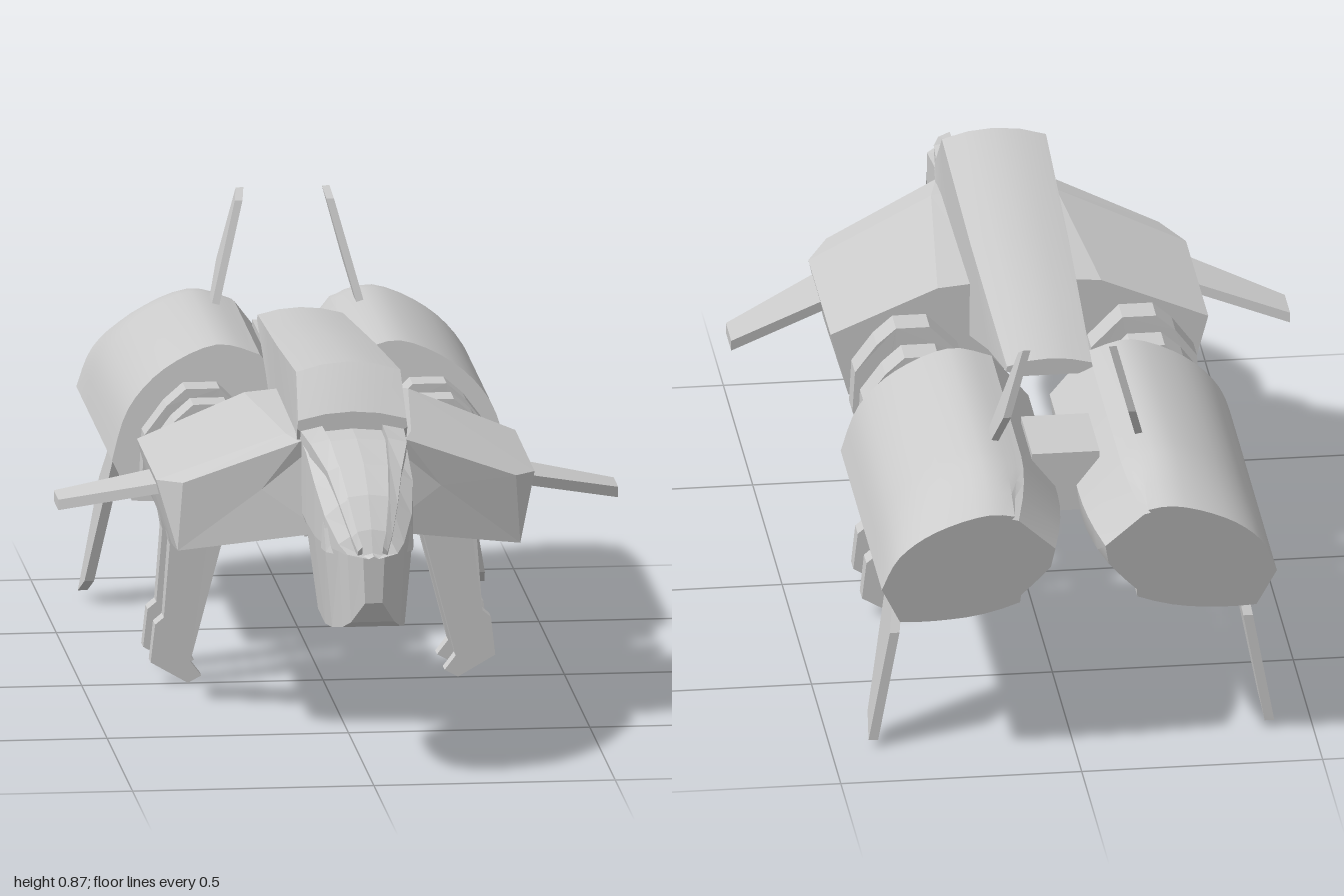
import * as THREE from 'three';
import { toCreasedNormals } from 'three/addons/utils/BufferGeometryUtils.js';

const grey = new THREE.MeshStandardMaterial({ color: 0xcccccc });

// Skin a series of closed rings of [x, y, z] and cap both ends; s = -1 mirrors in x.
function loft(rings, s = 1, crease = 0) {
  const R = rings.map(r => r.map(([x, y, z]) => new THREE.Vector3(x * s, y, z)));
  const n = R[0].length, tris = [];
  for (let i = 0; i < R.length - 1; i++) {
    for (let j = 0; j < n; j++) {
      const k = (j + 1) % n;
      tris.push([R[i][j], R[i][k], R[i + 1][k]], [R[i][j], R[i + 1][k], R[i + 1][j]]);
    }
  }
  const cap = (ring, flip) => {
    const c = ring.reduce((a, p) => a.add(p), new THREE.Vector3()).divideScalar(n);
    ring.forEach((p, j) => {
      const q = ring[(j + 1) % n];
      tris.push(flip ? [c, q, p] : [c, p, q]);
    });
  };
  cap(R[0], true);
  cap(R[R.length - 1], false);
  // Turn the faces outward whichever way the rings run
  const volume = tris.reduce((v, [a, b, c]) => v + a.dot(b.clone().cross(c)), 0);
  const pts = tris.flatMap(t => (volume < 0 ? [t[0], t[2], t[1]] : t));
  const g = new THREE.BufferGeometry().setFromPoints(pts);
  g.computeVertexNormals();
  return crease ? toCreasedNormals(g, crease) : g;
}

// Complete a half outline, listed from top centre to bottom centre
const symmetric = half => [...half, ...half.slice(1, -1).reverse().map(([x, y, z]) => [-x, y, z])];

// Outline of a fin given as [z, y], leaning in x by a rule of y
const fin = (outline, xAt, t) => [-t, t].map(d => outline.map(([z, y]) => [xAt(y) + d, y, z]));

export function createModel() {
  const model = new THREE.Group();
  const add = (name, geo, parent = model) => {
    const m = new THREE.Mesh(geo, grey);
    m.name = name;
    parent.add(m);
    return m;
  };

  // Cockpit: z, top, top half width, shoulder y, half width, chin half width, bottom
  const cockpit = [
    [0.55, 0.665, 0.06, 0.64, 0.105, 0.09, 0.45],
    [0.66, 0.662, 0.06, 0.635, 0.105, 0.08, 0.305],
    [0.80, 0.640, 0.05, 0.60, 0.102, 0.08, 0.305],
    [0.89, 0.595, 0.042, 0.55, 0.09, 0.075, 0.317],
    [0.95, 0.535, 0.03, 0.505, 0.068, 0.06, 0.33],
    [0.975, 0.49, 0.02, 0.488, 0.052, 0.045, 0.345],
    [1.0, 0.488, 0.01, 0.486, 0.022, 0.018, 0.39],
  ].map(([z, top, tw, sy, w, cw, bottom]) => symmetric([
    [0, top, z], [tw, top - 0.005, z], [w, sy, z], [w, Math.min(0.49, sy - 0.002), z],
    [cw, bottom, z], [0, bottom, z]]));
  add('cockpit', loft(cockpit));

  // Spine: z, top, half width, edge y, bottom
  const spine = [
    [0.575, 0.700, 0.112, 0.683, 0.645],
    [0.495, 0.788, 0.108, 0.768, 0.50],
    [0.06, 0.745, 0.102, 0.727, 0.50],
    [-0.20, 0.718, 0.095, 0.702, 0.585],
    [-0.45, 0.692, 0.088, 0.678, 0.655],
  ].map(([z, top, w, edge, bottom]) => symmetric([
    [0, top, z], [w * 0.5, top - (top - edge) * 0.25, z], [w, edge, z],
    [w * 1.02, Math.min(bottom + 0.02, edge - 0.01), z], [w * 0.7, bottom, z], [0, bottom, z]]));
  add('spine', loft(spine, 1, 0.3));

  add('belly', new THREE.BoxGeometry(0.2, 0.16, 0.52)).position.set(0, 0.52, 0.32);
  add('rearCoupling', new THREE.BoxGeometry(0.14, 0.13, 0.19)).position.set(0, 0.54, -0.635);

  // Engine cross-section: a domed upper side and a shallow curved underside
  const dome = new THREE.SplineCurve([[0.10, 0.63], [0.19, 0.653], [0.30, 0.605], [0.375, 0.525], [0.41, 0.42]]
    .map(p => new THREE.Vector2(...p))).getPoints(16);
  const under = new THREE.SplineCurve([[0.37, 0.337], [0.30, 0.335], [0.195, 0.347], [0.09, 0.39], [0.03, 0.47]]
    .map(p => new THREE.Vector2(...p))).getPoints(12);
  const section = [...dome, ...under, new THREE.Vector2(0.022, 0.53)];
  // Front and back ends slope; the upper side falls away toward the back
  const engine = [0, 0.7, 0.77, 0.84, 0.91, 1].map(t => section.map(({ x, y }) => {
    const k = Math.max(0, (t - 0.7) / 0.3);
    const y2 = y > 0.42 ? 0.42 + (y - 0.42) * (1 - 0.25 * k ** 1.6) : y;
    const x2 = x < 0.12 ? x + 0.03 * k * k : x;
    const z0 = -0.29 + (0.655 - y) * 0.13, z1 = -1.0 + (0.595 - y2) * 0.23;
    return [x2, y2, z0 + (z1 - z0) * t];
  }));

  // Leg outline in x, y
  const legOutline = [[0.20, 0.595], [0.27, 0.595], [0.31, 0.56], [0.355, 0.50], [0.36, 0.41], [0.325, 0.34],
    [0.318, 0.30], [0.33, 0.145], [0.348, 0.13], [0.357, 0.05], [0.28, 0.005], [0.252, 0.02],
    [0.275, 0.05], [0.195, 0.36], [0.13, 0.46], [0.135, 0.53]];

  for (const s of [1, -1]) {
    const side = new THREE.Group();
    side.name = s > 0 ? 'leftSide' : 'rightSide';
    model.add(side);

    // Shoulder body with a cut-off front corner
    add('shoulder', loft([
      [[0.06, 0.64, 0.06], [0.17, 0.63, 0.06], [0.392, 0.537, 0.06], [0.355, 0.40, 0.06], [0.06, 0.44, 0.06]],
      [[0.06, 0.648, 0.50], [0.13, 0.64, 0.50], [0.392, 0.535, 0.44], [0.36, 0.40, 0.44], [0.06, 0.44, 0.50]],
      [[0.06, 0.645, 0.58], [0.11, 0.64, 0.58], [0.345, 0.545, 0.52], [0.355, 0.40, 0.51], [0.06, 0.45, 0.595]],
    ], s), side);

    // Side winglet
    add('winglet', loft([-0.011, 0.011].map(d => [
      [0.35, 0.518 + d, 0.425], [0.58, 0.455 + d, 0.30], [0.58, 0.455 + d, 0.21], [0.35, 0.518 + d, 0.277]]), s), side);

    add('engine', loft(engine, s, 0.45), side);
    add('upperFin', loft(fin([[-0.68, 0.61], [-0.76, 0.85], [-0.795, 0.87], [-0.795, 0.72], [-0.72, 0.61]],
      y => 0.15 - (y - 0.645) * 0.27, 0.008), s), side);
    add('lowerFin', loft(fin([[-0.665, 0.36], [-0.755, 0.055], [-0.825, 0.02], [-0.825, 0.26], [-0.75, 0.36]],
      y => 0.352 + (0.34 - y) * 0.185, 0.01), s), side);

    // Shaft carrying the two legs, with a ball between them
    const shaft = add('legShaft', new THREE.CylinderGeometry(0.036, 0.036, 0.42, 20), side);
    shaft.rotation.x = Math.PI / 2;
    shaft.position.set(0.235 * s, 0.495, -0.13);
    add('shaftBall', new THREE.SphereGeometry(0.052, 20, 14), side).position.set(0.235 * s, 0.495, -0.095);

    for (const z of [-0.02, -0.168]) {
      const g = new THREE.ExtrudeGeometry(
        new THREE.Shape(legOutline.map(([x, y]) => new THREE.Vector2(x * s, y))), { depth: 1, bevelEnabled: false });
      g.translate(0, 0, -0.5);
      // Thin the leg toward the foot
      const p = g.attributes.position;
      for (let i = 0; i < p.count; i++) p.setZ(i, p.getZ(i) * (0.036 + 0.03 * Math.min(1, p.getY(i) / 0.55)));
      g.computeVertexNormals();
      add('leg', g, side).position.z = z;
      const hub = add('hipHub', new THREE.CylinderGeometry(0.06, 0.06, 0.08, 6), side);
      hub.rotation.x = Math.PI / 2;
      hub.position.set(0.235 * s, 0.495, z);
    }

    // Raised canopy frame, running from the roof to the nose
    add('canopyFrame', loft([
      [0.085, 0.655, 0.56, 0.045], [0.08, 0.655, 0.695, 0.04], [0.065, 0.622, 0.81, 0.024],
      [0.052, 0.57, 0.895, 0.016], [0.036, 0.515, 0.955, 0.012], [0.026, 0.488, 0.975, 0.01],
    ].map(([x, y, z, w]) => [
      [x - w / 2, y - 0.02, z - 0.01], [x - w / 2, y + 0.016, z + 0.004],
      [x + w / 2, y + 0.006, z + 0.004], [x + w / 2, y - 0.025, z - 0.01]]), s), side);
    add('cheekVent', loft([
      [[0.06, 0.48, 0.88], [0.06, 0.565, 0.88], [0.092, 0.555, 0.87], [0.096, 0.48, 0.87]],
      [[0.06, 0.48, 0.945], [0.06, 0.545, 0.915], [0.085, 0.54, 0.9], [0.09, 0.48, 0.91]]], s), side);
  }
  return model;
}
